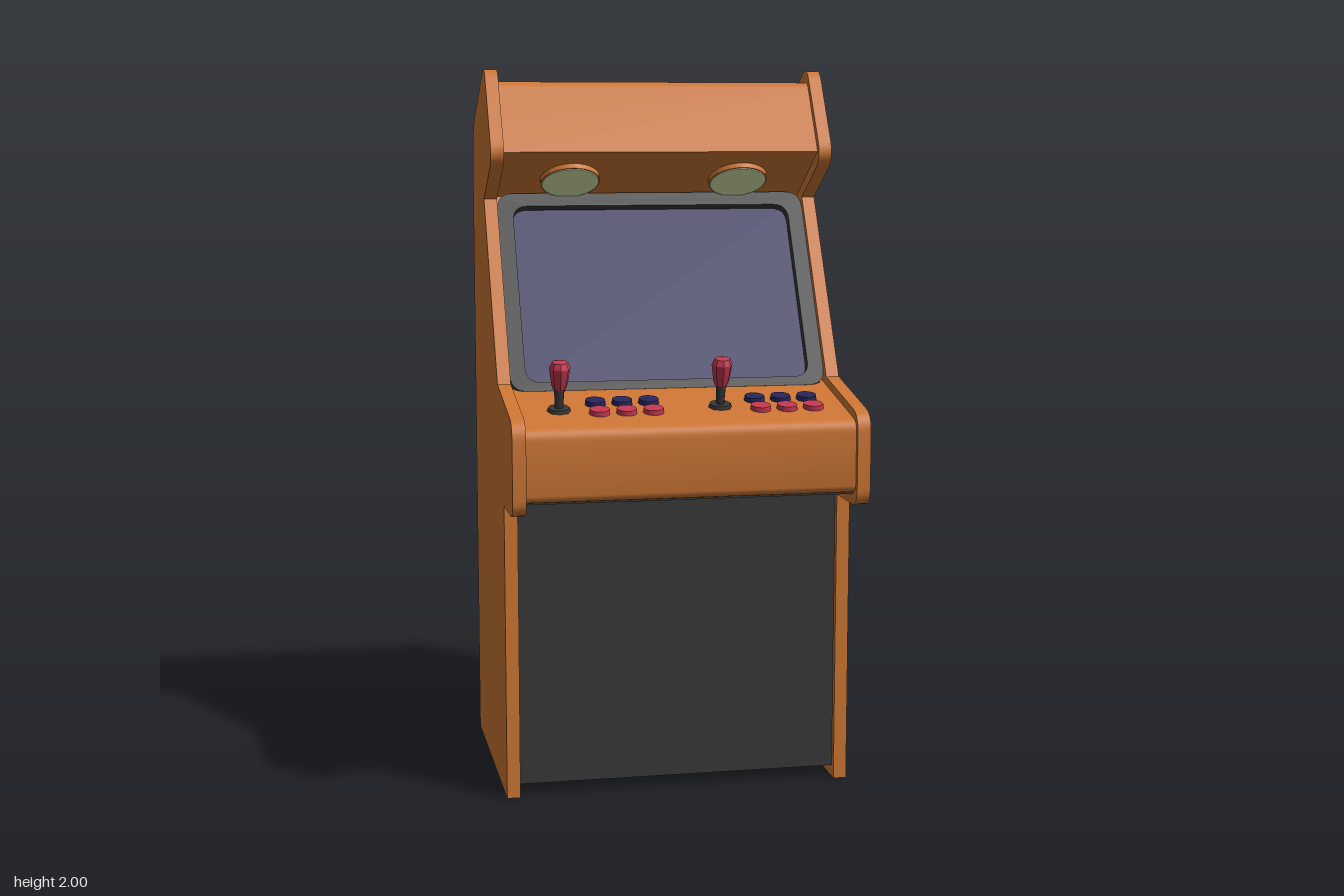
import * as THREE from 'three';
import { toCreasedNormals } from 'three/addons/utils/BufferGeometryUtils.js';

const mat = (color) => new THREE.MeshStandardMaterial({ color });
const orange = mat(0xcd7634), dark = mat(0x383838), navy = mat(0x28265c);
const red = mat(0xc23850), glow = mat(0xdcebac);

function add(parent, name, geometry, material, x = 0, y = 0, z = 0) {
  const mesh = new THREE.Mesh(geometry, material);
  mesh.name = name;
  mesh.position.set(x, y, z);
  parent.add(mesh);
  return mesh;
}

// Closed outline from [z, y, cornerRadius] points
function outline(points) {
  const shape = new THREE.Shape();
  points.forEach(([px, py, r = 0], i) => {
    const p = new THREE.Vector2(px, py);
    const toward = (q) => new THREE.Vector2(q[0], q[1]).sub(p).setLength(r).add(p);
    const a = toward(points.at(i - 1)), b = toward(points[(i + 1) % points.length]);
    if (i === 0) shape.moveTo(a.x, a.y);
    else shape.lineTo(a.x, a.y);
    if (r) shape.quadraticCurveTo(p.x, p.y, b.x, b.y);
  });
  return shape;
}

// Extrude a side outline across x, centred on x = 0
function slab(points, width) {
  const geo = new THREE.ExtrudeGeometry(outline(points), { depth: width, bevelEnabled: false, curveSegments: 6 });
  geo.translate(0, 0, -width / 2).rotateY(-Math.PI / 2);
  return toCreasedNormals(geo, 0.6);
}

const roundedRect = (w, y0, y1, r) => outline([[-w, y0, r], [w, y0, r], [w, y1, r], [-w, y1, r]]);

export function createModel() {
  const model = new THREE.Group();
  model.name = 'arcadeCabinet';

  // Side panels
  const sideGeo = slab([
    [-0.453, 0], [0.257, 0], [0.257, 0.825], [0.455, 0.825, 0.05], [0.455, 1.078, 0.05],
    [0.133, 1.142], [-0.155, 1.64], [0.05, 1.757, 0.06], [-0.118, 2.02, 0.05],
    [-0.453, 1.838, 0.09],
  ], 0.037);
  for (const s of [-1, 1]) add(model, s > 0 ? 'leftSidePanel' : 'rightSidePanel', sideGeo, orange, s * 0.4685);

  // Body between the side panels: back, marquee, screen wall and control deck
  add(model, 'body', slab([
    [-0.446, 0.033], [0.225, 0.033], [0.225, 0.86], [0.441, 0.86, 0.03], [0.441, 1.057, 0.03],
    [0.086, 1.128], [-0.211, 1.645], [0.014, 1.775], [-0.113, 1.98, 0.03],
    [-0.446, 1.808, 0.08],
  ], 0.9), orange);

  // Dark front panel that turns under the control deck
  add(model, 'frontPanel', slab([
    [0.22, 0.033], [0.238, 0.033], [0.238, 0.854], [0.41, 0.854], [0.41, 0.862], [0.22, 0.862],
  ], 0.9), dark);

  // Tilted screen with its rounded bezel
  const screen = new THREE.Group();
  screen.name = 'screenAssembly';
  screen.position.set(0, 1.12, 0.127);
  screen.rotation.x = -0.518;
  model.add(screen);
  const frame = roundedRect(0.449, 0, 0.616, 0.05);
  frame.holes.push(roundedRect(0.405, 0.027, 0.575, 0.045));
  const bezelGeo = new THREE.ExtrudeGeometry(frame, { depth: 0.031, bevelEnabled: false, curveSegments: 6 });
  add(screen, 'bezel', toCreasedNormals(bezelGeo, 0.6), dark, 0, 0, -0.031);
  add(screen, 'screen', new THREE.BoxGeometry(0.82, 0.56, 0.01), navy, 0, 0.301, -0.032);

  // Round lamps under the marquee
  for (const x of [-0.245, 0.245]) {
    const lamp = new THREE.Group();
    lamp.name = 'marqueeLamp';
    lamp.position.set(x, 1.7, -0.116);
    lamp.rotation.x = 2.616;
    model.add(lamp);
    add(lamp, 'lampHousing', new THREE.CylinderGeometry(0.085, 0.085, 0.03, 32), orange);
    add(lamp, 'lampLens', new THREE.CylinderGeometry(0.081, 0.081, 0.004, 32), glow, 0, 0.0155);
  }

  // Controls, standing square to the sloping deck
  const tilt = Math.atan(0.2);
  const deckY = (z) => 1.12 - 0.2 * (z - 0.127);
  const knobGeo = toCreasedNormals(new THREE.LatheGeometry(
    [[0, 0.062], [0.017, 0.062], [0.022, 0.075], [0.029, 0.122], [0.022, 0.138], [0, 0.142]]
      .map(([r, y]) => new THREE.Vector2(r, y)), 8), 0.3);
  const buttonGeo = new THREE.CylinderGeometry(0.027, 0.03, 0.026, 24);

  [-0.34, 0.105].forEach((x, player) => {
    const stick = new THREE.Group();
    stick.name = 'joystick';
    stick.position.set(x, deckY(0.292), 0.292);
    stick.rotation.x = tilt;
    model.add(stick);
    add(stick, 'joystickBase', new THREE.CylinderGeometry(0.03, 0.033, 0.012, 8), dark, 0, 0.004);
    add(stick, 'joystickShaft', new THREE.CylinderGeometry(0.015, 0.011, 0.08, 8), dark, 0, 0.04);
    add(stick, 'joystickKnob', knobGeo, red);

    // Two rows of three buttons per player
    for (const [z, material] of [[0.245, navy], [0.32, red]]) {
      for (let i = 0; i < 3; i++) {
        const bx = (player ? 0.213 : -0.233) + i * 0.074;
        add(model, 'button', buttonGeo, material, bx, deckY(z), z).rotation.x = tilt;
      }
    }
  });

  return model;
}
